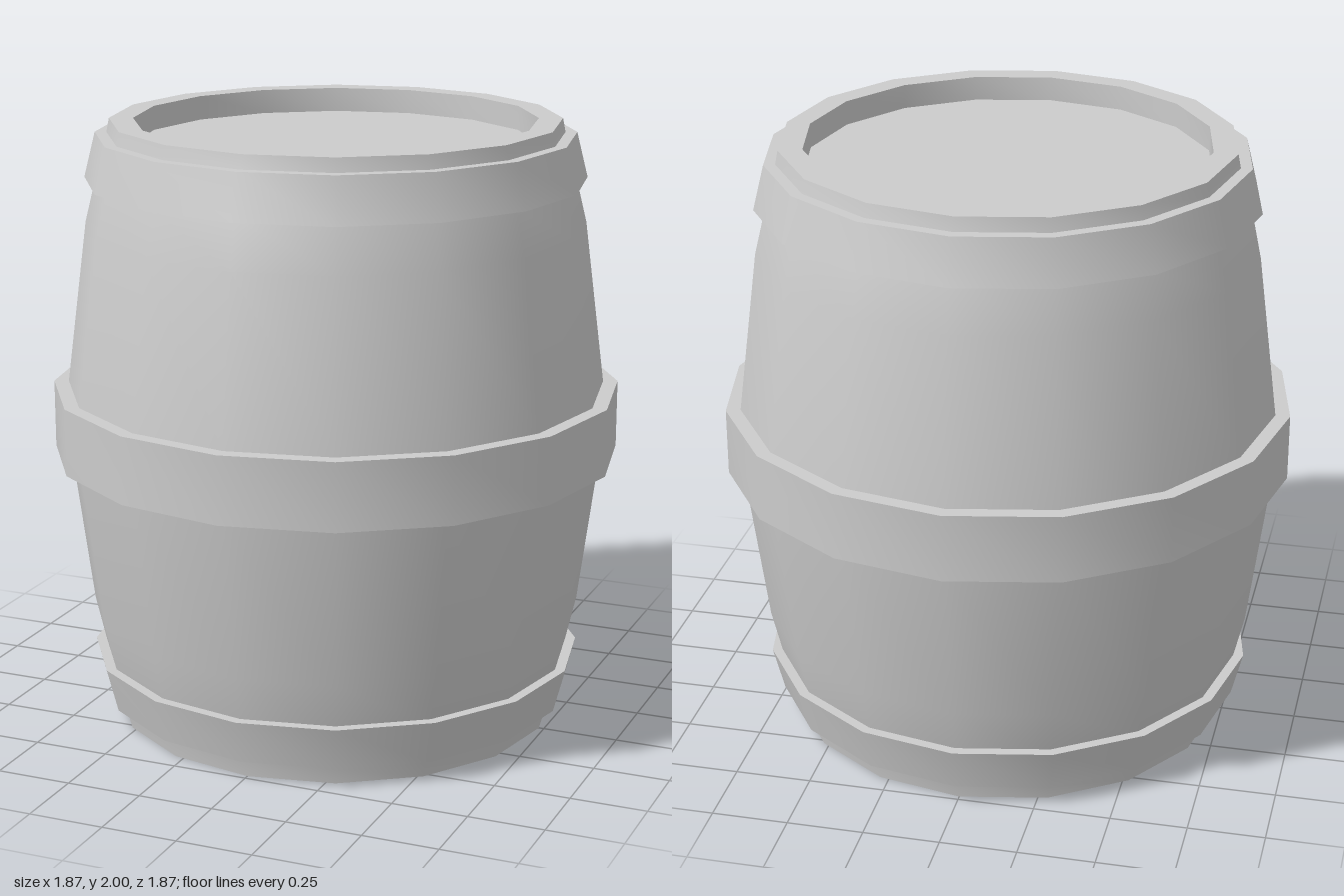
import * as THREE from 'three';
import { toCreasedNormals } from 'three/addons/utils/BufferGeometryUtils.js';

const SIDES = 16;
const CREASE = 0.6; // smooth around the staves, sharp at rims and hoop edges

export function createModel() {
  const model = new THREE.Group();
  const material = new THREE.MeshStandardMaterial({ color: 0xcccccc });

  function add(name, geometry) {
    const mesh = new THREE.Mesh(geometry, material);
    mesh.name = name;
    model.add(mesh);
    return mesh;
  }

  // Revolve a profile of [radius, height] pairs
  function turned(name, profile) {
    const points = profile.map(([r, y]) => new THREE.Vector2(r, y));
    return add(name, toCreasedNormals(new THREE.LatheGeometry(points, SIDES), CREASE));
  }

  // Bulging staves with a raised rim at both ends
  turned('staves', [
    [0.655, 0.08], [0.655, 0], [0.733, 0], [0.742, 0.05], [0.78, 0.2],
    [0.817, 0.36], [0.887, 0.9], [0.9, 1.01], [0.887, 1.12],
    [0.817, 1.66], [0.78, 1.81], [0.742, 1.955], [0.733, 2],
    [0.655, 2], [0.655, 1.92],
  ]);

  // Recessed flat heads
  for (const [name, y, turn] of [['topHead', 1.92, -1], ['bottomHead', 0.08, 1]]) {
    const head = add(name, new THREE.CircleGeometry(0.655, SIDES));
    head.rotation.x = turn * Math.PI / 2;
    head.position.y = y;
  }

  // Hoops: bottom radius and height, then top radius and height
  const hoops = [
    ['bottomHoop', 0.78, 0.068, 0.817, 0.215],
    ['middleHoop', 0.935, 0.9, 0.935, 1.122],
    ['topHoop', 0.817, 1.808, 0.78, 1.955],
  ];
  for (const [name, r0, y0, r1, y1] of hoops) {
    turned(name, [[r0 - 0.07, y0], [r0, y0], [r1, y1], [r1 - 0.07, y1]]);
  }

  return model;
}
